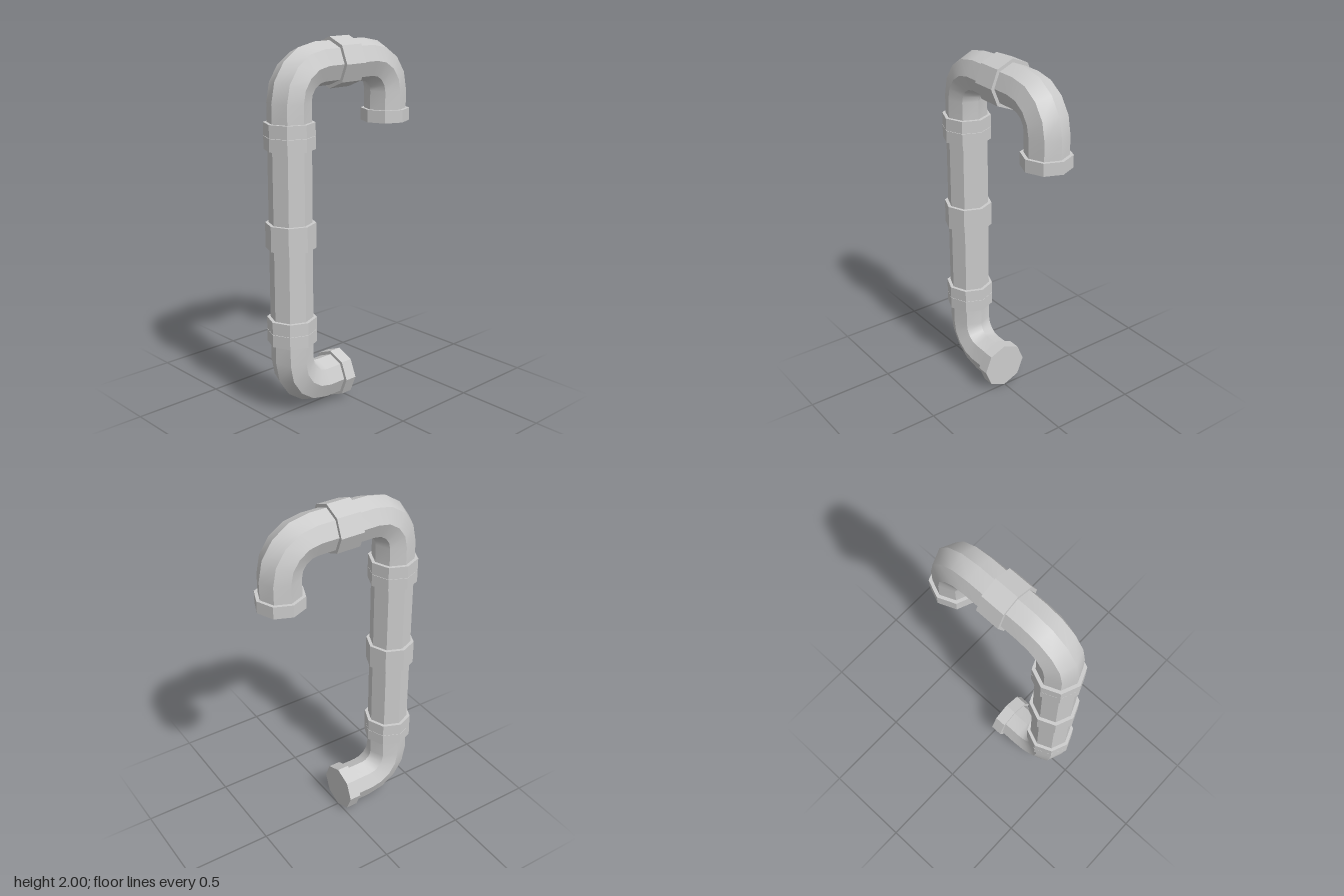
import * as THREE from 'three';
import { toCreasedNormals } from 'three/addons/utils/BufferGeometryUtils.js';

const SIDES = 8;
const PIPE_R = 0.114, COLLAR_R = 0.133, COLLAR_H = 0.068;
const BEND_R = 0.175; // centreline radius of the bends
const ARM = 0.343;    // bend corner to the open end of an arm
const TOP_Y = 1.867, BOTTOM_Y = 0.135, SPAN = 0.521;

const material = new THREE.MeshStandardMaterial({ color: 0xcccccc });

function mesh(geometry, name) {
  const m = new THREE.Mesh(toCreasedNormals(geometry, Math.PI / 6), material);
  m.name = name;
  return m;
}

function tube(radius, height, name) {
  return mesh(new THREE.CylinderGeometry(radius, radius, height, SIDES), name);
}

// Eight-sided quarter bend: rises along y into the corner, leaves along +x
function bendGeometry() {
  const rings = [];
  for (let i = 0; i <= 4; i++) {
    const t = (i / 4) * Math.PI / 2;
    const n = new THREE.Vector3(-Math.cos(t), Math.sin(t), 0);
    rings.push({ n, p: new THREE.Vector3(BEND_R, -BEND_R, 0).addScaledVector(n, BEND_R) });
  }
  // Straight ends running into the collars
  rings.unshift({ n: rings[0].n, p: new THREE.Vector3(0, -ARM + 0.01, 0) });
  rings.push({ n: rings[5].n, p: new THREE.Vector3(ARM - 0.01, 0, 0) });

  const positions = [], index = [];
  rings.forEach(({ n, p }, i) => {
    for (let k = 0; k < SIDES; k++) {
      const a = (k / SIDES) * Math.PI * 2;
      const v = p.clone().addScaledVector(n, PIPE_R * Math.cos(a));
      positions.push(v.x, v.y, PIPE_R * Math.sin(a));
      if (i === rings.length - 1) continue;
      const k2 = (k + 1) % SIDES;
      const q = [i * SIDES + k, i * SIDES + k2, (i + 1) * SIDES + k2, (i + 1) * SIDES + k];
      index.push(q[0], q[1], q[2], q[0], q[2], q[3]);
    }
  });
  const g = new THREE.BufferGeometry();
  g.setAttribute('position', new THREE.Float32BufferAttribute(positions, 3));
  g.setIndex(index);
  return g;
}

// Elbow with a closed collar on each end, its corner at the group's origin
function elbow(name) {
  const group = new THREE.Group();
  group.name = name;
  const lower = tube(COLLAR_R, COLLAR_H, 'elbowCollar');
  lower.position.y = -ARM + COLLAR_H / 2;
  const side = tube(COLLAR_R, COLLAR_H, 'elbowCollar');
  side.rotation.z = Math.PI / 2;
  side.position.x = ARM - COLLAR_H / 2;
  group.add(mesh(bendGeometry(), 'bend'), lower, side);
  return group;
}

// Straight pipe with a collar on each end, centred on the group's origin
function straightPipe(name) {
  const group = new THREE.Group();
  group.name = name;
  group.add(tube(PIPE_R, SPAN - 0.02, 'pipe'));
  for (const s of [-1, 1]) {
    const collar = tube(COLLAR_R, COLLAR_H, 'pipeCollar');
    collar.position.y = s * (SPAN - COLLAR_H) / 2;
    group.add(collar);
  }
  return group;
}

export function createModel() {
  const model = new THREE.Group();
  model.name = 'pipeRun';

  // Upper hook: two mirrored elbows
  const topRight = elbow('topRightElbow');
  topRight.position.set(-ARM, TOP_Y, 0);
  const topLeft = elbow('topLeftElbow');
  topLeft.position.set(ARM, TOP_Y, 0);
  topLeft.rotation.y = Math.PI;

  // Foot elbow, turned upside down
  const foot = elbow('footElbow');
  foot.position.set(-ARM, BOTTOM_Y, 0);
  foot.rotation.x = Math.PI;
  model.add(topRight, topLeft, foot);

  // Riser: two stacked straight pipes
  const middle = (TOP_Y + BOTTOM_Y) / 2;
  for (const [s, name] of [[-1, 'lowerPipe'], [1, 'upperPipe']]) {
    const pipe = straightPipe(name);
    pipe.position.set(-ARM, middle + s * SPAN / 2, 0);
    model.add(pipe);
  }
  return model;
}
